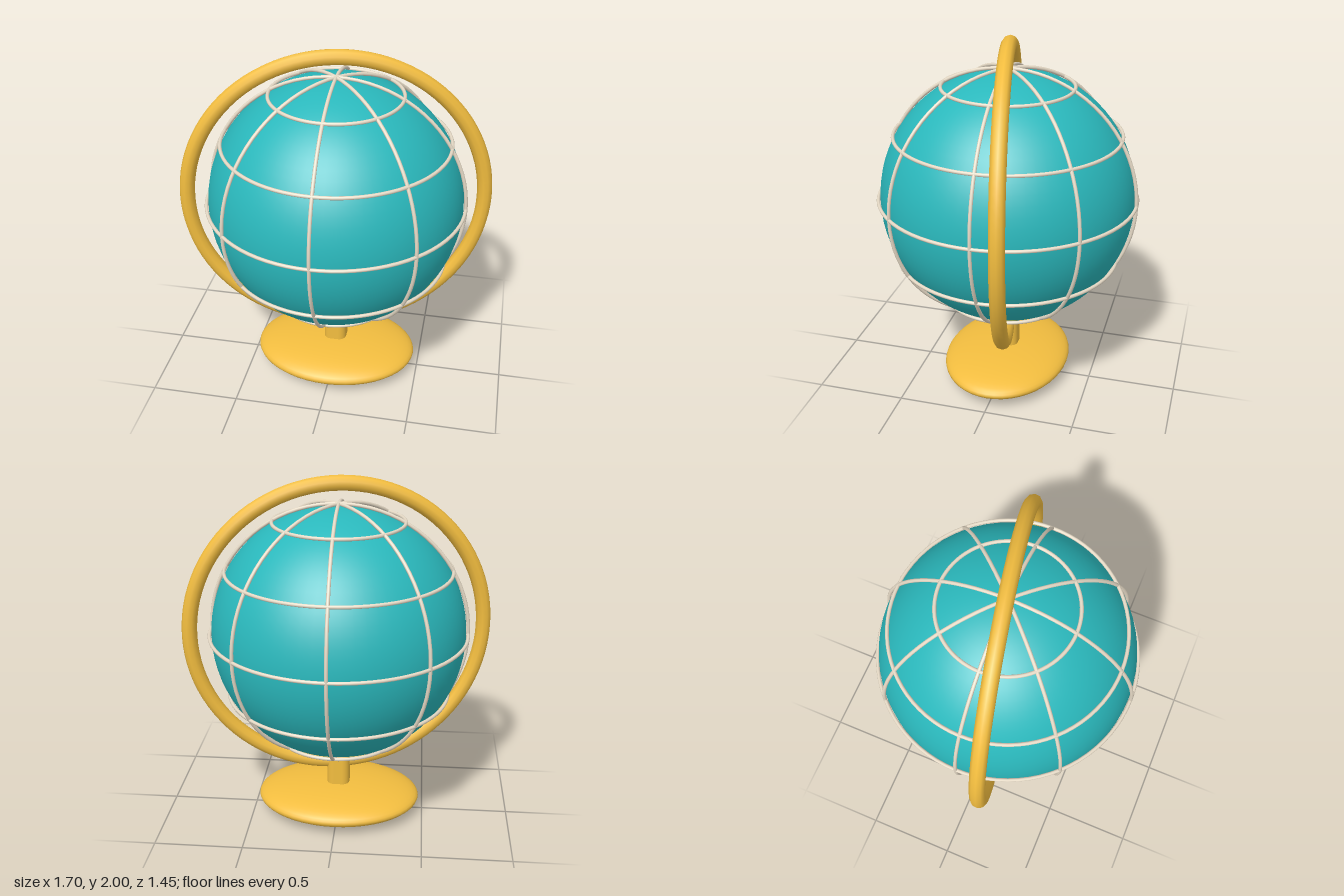
import * as THREE from 'three';
import { RoundedBoxGeometry } from 'three/addons/geometries/RoundedBoxGeometry.js';

const gold = new THREE.MeshStandardMaterial({ color: 0xf2bd3f });
const teal = new THREE.MeshStandardMaterial({ color: 0x2ab8bc });
const cream = new THREE.MeshStandardMaterial({ color: 0xe6dac6 });

const CENTER_Y = 1.13;
const GRID_R = 0.717;
const WIRE = 0.01;

function add(parent, name, geometry, material) {
  const mesh = new THREE.Mesh(geometry, material);
  mesh.name = name;
  parent.add(mesh);
  return mesh;
}

export function createModel() {
  const model = new THREE.Group();
  model.name = 'deskGlobe';

  // Oval foot
  const base = add(model, 'base', new THREE.SphereGeometry(1, 48, 24), gold);
  base.scale.set(0.475, 0.089, 0.362);
  base.position.y = 0.089;

  // Short post with rounded edges
  const post = add(model, 'post', new RoundedBoxGeometry(0.13, 0.26, 0.13, 4, 0.042), gold);
  post.position.y = 0.245;

  // Upright ring around the ball, turned slightly
  const ring = add(model, 'supportRing', new THREE.TorusGeometry(0.824, 0.042, 10, 96), gold);
  ring.position.y = 1.134;
  ring.rotation.y = 0.2;

  // Ball with its raised grid
  const globe = new THREE.Group();
  globe.name = 'globe';
  globe.position.y = CENTER_Y;
  model.add(globe);
  add(globe, 'ball', new THREE.SphereGeometry(0.705, 64, 40), teal);

  // Meridians: four full circles through the poles
  for (let i = 0; i < 4; i++) {
    const meridian = add(globe, 'meridian', new THREE.TorusGeometry(GRID_R, WIRE, 8, 80), cream);
    meridian.rotation.y = (i * Math.PI) / 4;
  }

  // Parallels every 30 degrees
  for (let i = -2; i <= 2; i++) {
    const latitude = (i * Math.PI) / 6;
    const radius = GRID_R * Math.cos(latitude);
    const parallel = add(globe, 'parallel', new THREE.TorusGeometry(radius, WIRE, 8, 80), cream);
    parallel.rotation.x = Math.PI / 2;
    parallel.position.y = GRID_R * Math.sin(latitude);
  }

  return model;
}
